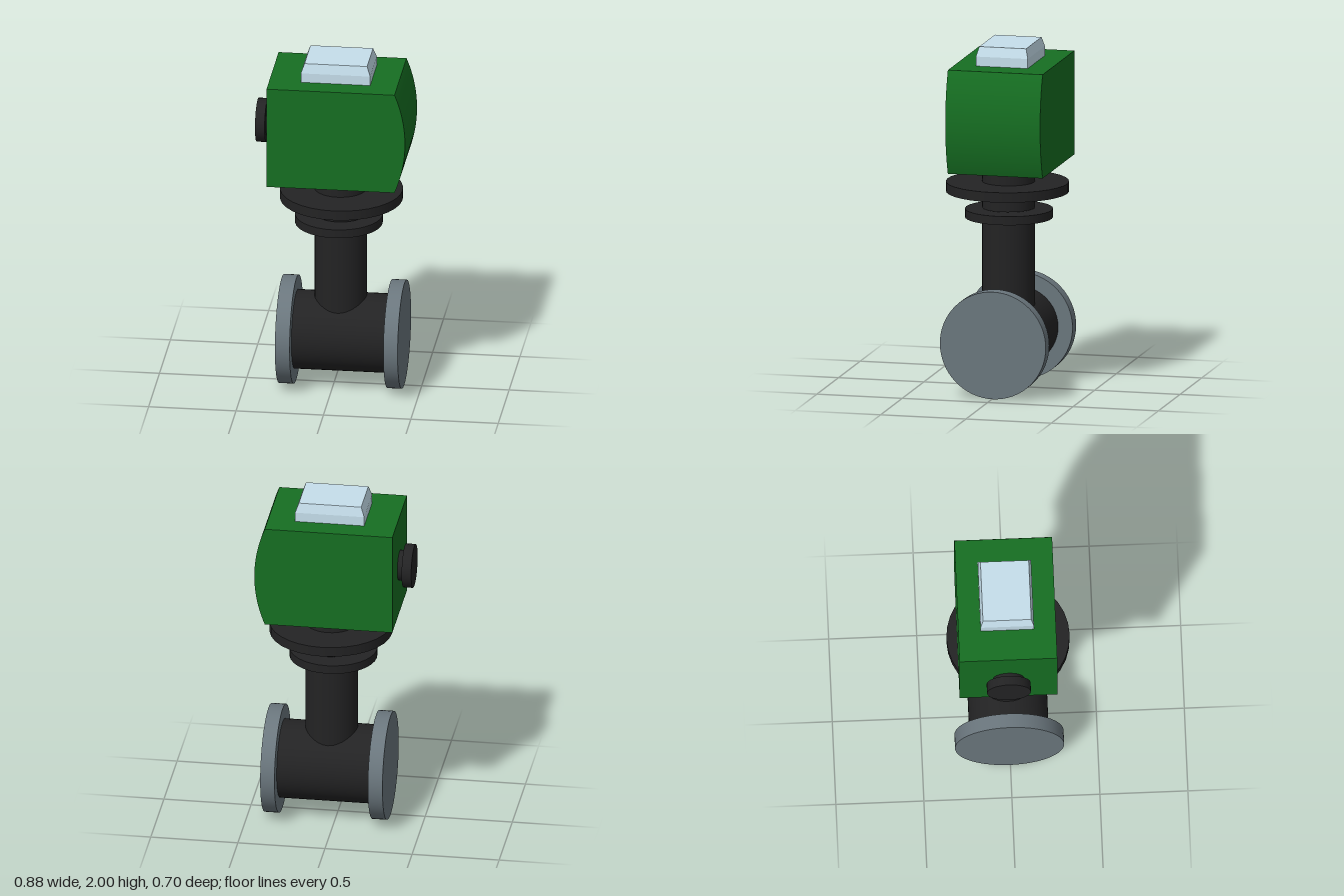
import * as THREE from 'three';
import { toCreasedNormals } from 'three/addons/utils/BufferGeometryUtils.js';

const mat = (color) => new THREE.MeshStandardMaterial({ color });

export function createModel() {
  const model = new THREE.Group();
  const black = mat(0x232324);
  const steel = mat(0x6b777e);
  const green = mat(0x166f22);
  const glass = mat(0xc6dfec);

  const add = (name, geometry, material) => {
    const mesh = new THREE.Mesh(geometry, material);
    mesh.name = name;
    model.add(mesh);
    return mesh;
  };
  // Upright cylinder between two heights
  const upright = (name, r, y0, y1, x, z, material) =>
    add(name, new THREE.CylinderGeometry(r, r, y1 - y0, 32), material).position.set(x, (y0 + y1) / 2, z);
  // Cylinder lying along x between two x positions
  const lying = (name, r, x0, x1, y, z, material, sides = 48) => {
    const mesh = add(name, new THREE.CylinderGeometry(r, r, x1 - x0, sides), material);
    mesh.rotation.z = Math.PI / 2;
    mesh.position.set((x0 + x1) / 2, y, z);
  };

  // Pipe body with an end flange on each side
  lying('pipeBody', 0.226, -0.218, 0.318, 0.315, -0.005, black);
  lying('rightPipeFlange', 0.31, -0.302, -0.218, 0.313, -0.005, steel, 64);
  lying('leftPipeFlange', 0.31, 0.318, 0.4, 0.313, -0.005, steel, 64);

  // Stem in two lengths, each with a collar
  upright('lowerStem', 0.15, 0.315, 1.037, 0.036, -0.005, black);
  upright('lowerCollar', 0.25, 0.987, 1.037, 0.026, -0.005, black);
  upright('upperStem', 0.15, 1.045, 1.29, 0.036, -0.005, black);
  upright('upperCollar', 0.35, 1.14, 1.197, 0.041, 0, black);

  // Housing: a block whose left end bulges in an arc
  const R = 0.78, half = Math.asin(0.3 / R);
  const profile = new THREE.Shape();
  profile.moveTo(-0.355, 1.29);
  profile.lineTo(0.377, 1.29);
  profile.absarc(0.437 - R, 1.59, R, -half, half, false);
  profile.lineTo(-0.355, 1.89);
  profile.closePath();
  const housing = new THREE.ExtrudeGeometry(profile, { depth: 0.555, bevelEnabled: false, curveSegments: 24 });
  housing.translate(0, 0, -0.291);
  add('housing', toCreasedNormals(housing, 0.6), green);

  // Cable entry on the flat end
  lying('cableEntryNeck', 0.087, -0.387, -0.355, 1.585, -0.014, black, 32);
  lying('cableEntryCap', 0.125, -0.44, -0.385, 1.585, -0.014, black, 32);

  // Display window: straight sides, then a sloped rim to a smaller top
  const display = new THREE.BoxGeometry(0.397, 0.11, 0.303, 1, 2, 1);
  const p = display.attributes.position;
  for (let i = 0; i < p.count; i++) {
    if (p.getY(i) > 0.01) {
      p.setX(i, Math.sign(p.getX(i)) * 0.179);
      p.setZ(i, Math.sign(p.getZ(i)) * 0.137);
    }
  }
  add('displayWindow', toCreasedNormals(display, 0.1), glass).position.set(0.024, 1.945, -0.013);

  return model;
}
